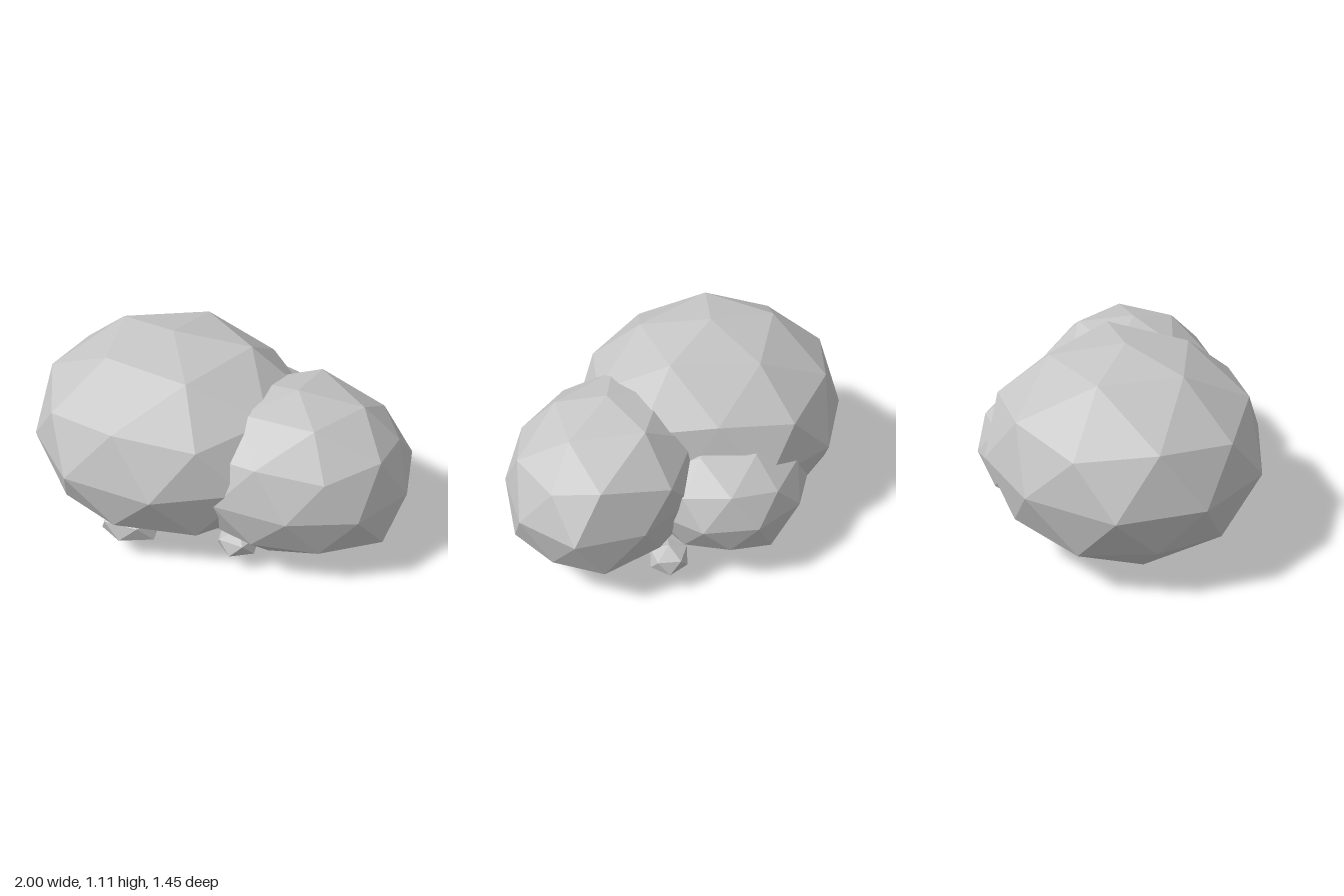
import * as THREE from 'three';

const stone = new THREE.MeshStandardMaterial({ color: 0xc5c5c5, flatShading: true });
stone.name = 'light stone grey';

// Icosahedron with its poles on the y axis: pole, upper ring, lower ring, pole
const corners = [0, 1, 0];
const faces = [];
for (const [y, turn] of [[1, 0], [-1, 36]]) {
  for (let k = 0; k < 5; k++) {
    const a = THREE.MathUtils.degToRad(72 * k + turn);
    corners.push(0.894 * Math.cos(a), 0.447 * y, 0.894 * Math.sin(a));
  }
}
corners.push(0, -1, 0);
for (let k = 0; k < 5; k++) {
  const n = (k + 1) % 5;
  const u = 1 + k, u2 = 1 + n, l = 6 + k, l2 = 6 + n;
  faces.push(0, u2, u, u, u2, l, l, u2, l2, 11, l, l2);
}

// Moves the corner nearest to the target onto it
function pullCorner(position, target) {
  const goal = new THREE.Vector3(...target);
  const points = Array.from({ length: position.count }, (_, i) => new THREE.Vector3().fromBufferAttribute(position, i));
  const nearest = points.reduce((a, b) => (b.distanceTo(goal) < a.distanceTo(goal) ? b : a));
  points.forEach((p, i) => {
    if (p.distanceTo(nearest) < 1e-3) position.setXYZ(i, ...target);
  });
}

// A faceted stone stretched to the given radii, with some corners pulled uneven
function rock(name, center, radii, detail, pulls = []) {
  const geometry = new THREE.PolyhedronGeometry(corners, faces, 1, detail);
  geometry.scale(...radii);
  geometry.translate(...center);
  pulls.forEach((target) => pullCorner(geometry.attributes.position, target));
  geometry.computeVertexNormals();
  const mesh = new THREE.Mesh(geometry, stone);
  mesh.name = name;
  return mesh;
}

export function createModel() {
  const group = new THREE.Group();
  group.name = 'rockCluster';
  group.add(
    // Three overlapping boulders
    rock('largeBoulder', [-0.265, 0.555, 0], [0.775, 0.555, 0.725], 1, [
      [-0.92, 0.3, 0], [-0.67, 0.06, 0], [0.14, 1.05, 0],
      [-0.57, 1.05, 0.21], [-0.57, 1.05, -0.21],
      [-0.98, 0.55, 0.22], [-0.68, 0.55, -0.59], [-0.73, 0.55, 0.58],
      [0.22, 0.84, -0.33], [0.13, 0.55, -0.58], [0.36, 0.55, -0.22],
    ]),
    rock('mediumBoulder', [0.4, 0.49, 0.21], [0.63, 0.46, 0.5], 1, [
      [1, 0.49, 0.01], [0.98, 0.48, 0.36], [0.75, 0.48, 0.63],
      [0.88, 0.26, 0.49], [0.88, 0.26, -0.07], [0.92, 0.69, 0.19],
      [0.57, 0.67, -0.27], [0.72, 0.46, -0.21], [0.5, 0.9, -0.08],
    ]),
    rock('backBoulder', [0.06, 0.405, -0.28], [0.475, 0.335, 0.447], 1, [
      [0.19, 0.18, -0.64],
    ]),
    // Small pebbles at their feet
    rock('frontRightPebble', [-0.43, 0.18, 0.445], [0.18, 0.1, 0.115], 0),
    rock('frontMiddlePebble', [0.14, 0.155, 0.45], [0.125, 0.08, 0.13], 0),
    rock('backLeftPebble', [0.53, 0.17, -0.225], [0.115, 0.082, 0.11], 0),
  );
  return group;
}
